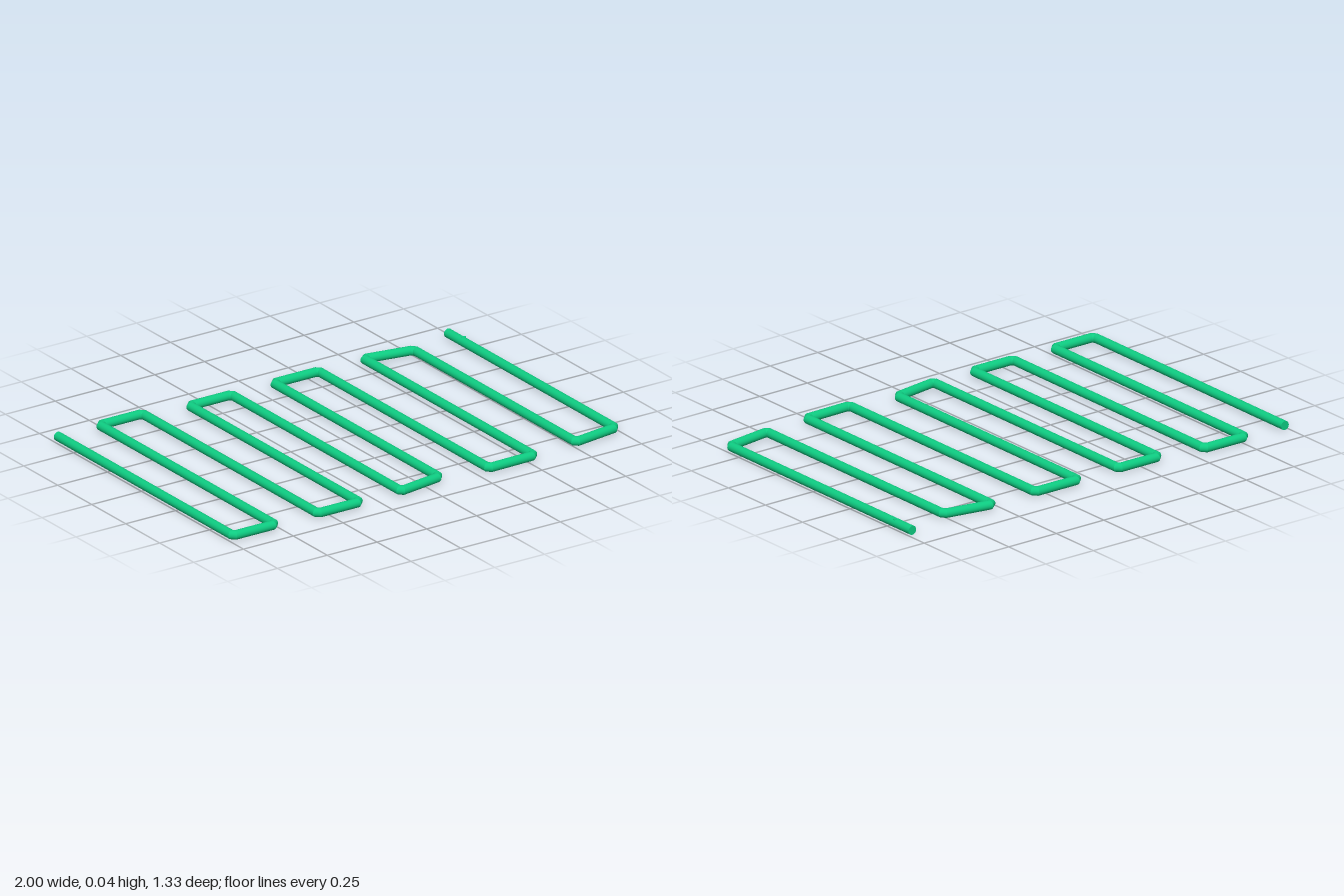
import * as THREE from 'three';

const R = 0.02;      // pipe radius
const CUT = 0.014;   // length cut off the centre line at each bend
const SIDES = 24;

// centre line of the serpentine pipe, as x, z
const CORNERS = [
  [-0.98, -0.645], [-0.98, 0.645], [-0.77, 0.645], [-0.77, -0.645],
  [-0.555, -0.645], [-0.555, 0.645], [-0.345, 0.645], [-0.345, -0.605],
  [-0.135, -0.605], [-0.135, 0.643], [0.08, 0.608], [0.08, -0.608],
  [0.305, -0.608], [0.305, 0.645], [0.535, 0.64], [0.535, -0.613],
  [0.76, -0.573], [0.76, 0.618], [0.98, 0.585], [0.98, -0.645],
].map(([x, z]) => new THREE.Vector3(x, R, z));

// replace every bend by two points, giving a chamfered corner
function chamfer(points) {
  return points.flatMap((p, i) => {
    if (i === 0 || i === points.length - 1) return [p];
    return [points[i - 1], points[i + 1]].map((q) =>
      p.clone().addScaledVector(q.clone().sub(p).normalize(), CUT));
  });
}

// straight pipe from a to b, its ends slanted to the mitre planes na and nb
function pipe(a, b, na, nb) {
  const d = b.clone().sub(a).normalize();
  const geo = new THREE.CylinderGeometry(R, R, 1, SIDES, 1, true);
  geo.applyQuaternion(new THREE.Quaternion().setFromUnitVectors(new THREE.Vector3(0, 1, 0), d));
  const pos = geo.attributes.position;
  const v = new THREE.Vector3();
  for (let i = 0; i < pos.count; i++) {
    v.fromBufferAttribute(pos, i);
    const t = v.dot(d);
    const [end, n] = t > 0 ? [b, nb] : [a, na];
    v.addScaledVector(d, -t);
    v.addScaledVector(d, -v.dot(n) / d.dot(n)).add(end);
    pos.setXYZ(i, v.x, v.y, v.z);
  }
  return geo;
}

export function createModel() {
  const group = new THREE.Group();
  const green = new THREE.MeshStandardMaterial({ color: 0x0ecb81 });
  green.name = 'green';
  const add = (geo, name) => {
    const mesh = new THREE.Mesh(geo, green);
    mesh.name = name;
    group.add(mesh);
    return mesh;
  };

  const path = chamfer(CORNERS);
  const last = path.length - 1;
  const dirs = path.slice(1).map((p, i) => p.clone().sub(path[i]).normalize());
  const planes = path.map((_, i) =>
    dirs[Math.max(i - 1, 0)].clone().add(dirs[Math.min(i, last - 1)]).normalize());

  // straight runs, crossbars and short bends
  for (let i = 0; i < last; i++) {
    const name = i % 2 ? 'bend' : i % 4 ? 'crossbar' : 'straightRun';
    add(pipe(path[i], path[i + 1], planes[i], planes[i + 1]), name);
  }

  // flat ends, both facing back
  for (const p of [path[0], path[last]]) {
    const cap = add(new THREE.CircleGeometry(R, SIDES), 'endCap');
    cap.rotation.y = Math.PI;
    cap.position.copy(p);
  }

  // small round port on top near the left end
  const port = add(new THREE.CylinderGeometry(0.01, 0.01, 0.004, 16), 'port');
  port.position.set(0.985, 2 * R - 0.002, -0.535);

  return group;
}
